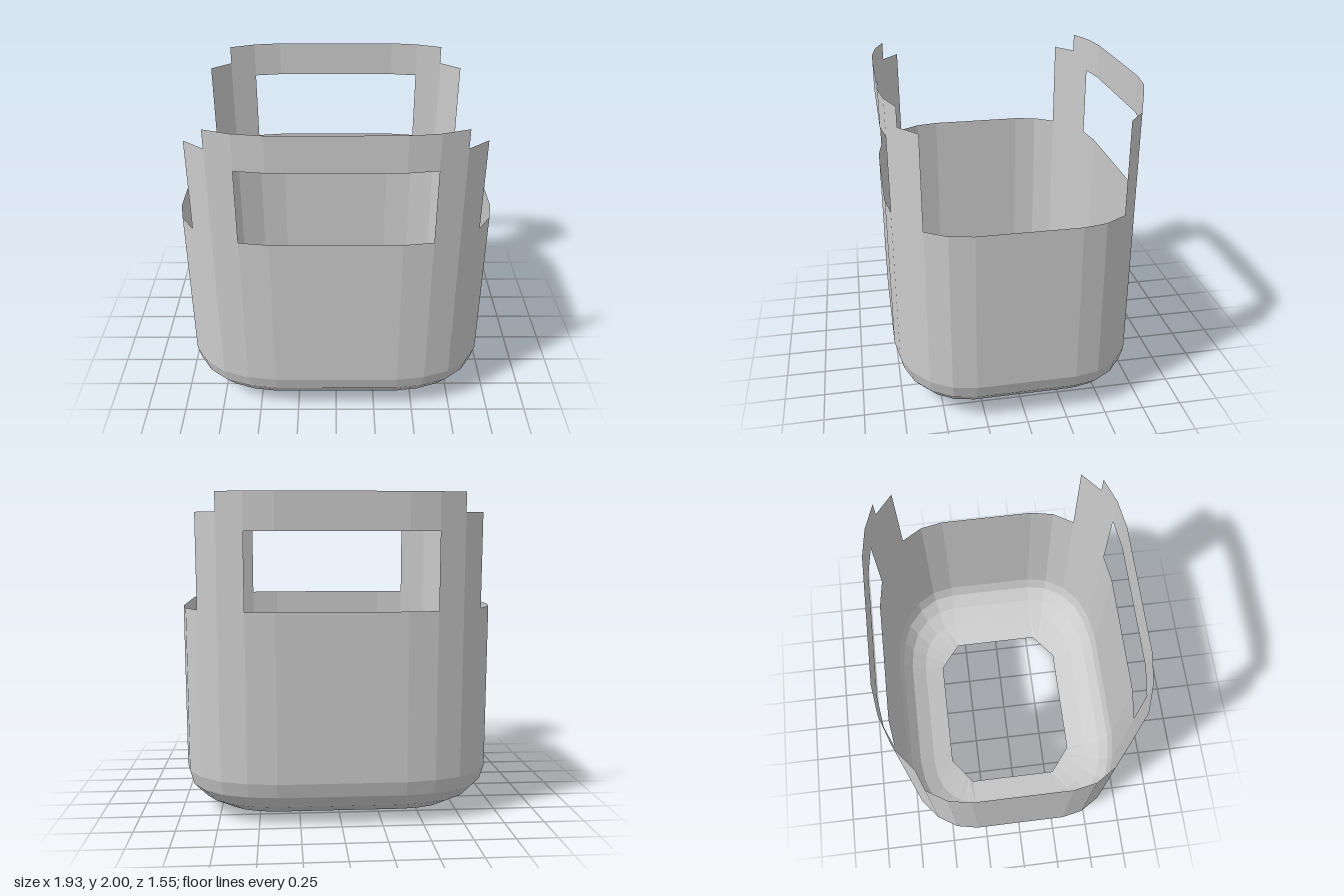
import * as THREE from 'three';

const CX = 0.39, CZ = 0.31; // where the straight sides end and the corners start
const HX = 0.967, HZ = 0.773; // half width and half depth of the wall
// one rounded corner, as fractions of the corner radii, from front to side
const CORNER = [[0, 1], [0.31, 0.945], [0.59, 0.82], [0.81, 0.595], [0.95, 0.315], [1, 0]];

// Closed 24-point outline at height y; chamfered corners are straight instead of round
function outline(hx, hz, y, chamfered = false) {
  const corner = CORNER.map(([u, v], i) => {
    const [a, b] = chamfered ? [i / 5, 1 - i / 5] : [u, v];
    return [CX + a * (hx - CX), CZ + b * (hz - CZ)];
  });
  const reversed = [...corner].reverse();
  const place = (pts, sx, sz) => pts.map(([x, z]) => new THREE.Vector3(sx * x, y, sz * z));
  return [
    ...place(corner, 1, 1), ...place(reversed, 1, -1),
    ...place(corner, -1, -1), ...place(reversed, -1, 1),
  ];
}

const material = new THREE.MeshStandardMaterial({
  color: 0xcccccc, flatShading: true, side: THREE.DoubleSide,
});

// Mesh from a list of quads (a, b along the bottom, c, d along the top)
function quadMesh(name, quads) {
  const geometry = new THREE.BufferGeometry().setFromPoints(
    quads.flatMap(([a, b, c, d]) => [a, b, c, a, c, d]));
  geometry.computeVertexNormals();
  const mesh = new THREE.Mesh(geometry, material);
  mesh.name = name;
  return mesh;
}

// Open-bottomed tub: rounded lower edge rising into a straight wall
function createBody() {
  const rings = [
    outline(0.568, 0.452, 0, true),
    outline(0.735, 0.59, 0.047),
    outline(0.86, 0.69, 0.11),
    outline(0.94, 0.75, 0.19),
    outline(HX, HZ, 0.28),
    outline(HX, HZ, 1.31),
  ];
  const quads = [];
  for (let r = 0; r < rings.length - 1; r++) {
    const low = rings[r], high = rings[r + 1];
    for (let i = 0; i < low.length; i++) {
      const j = (i + 1) % low.length;
      quads.push([low[i], low[j], high[j], high[i]]);
    }
  }
  return quadMesh('body', quads);
}

// Raised handle that follows the wall: stepped posts and a top bar around an opening
function createHandle(name) {
  const ring = outline(HX, HZ, 0);
  const at = (i, y) => ring[(i + 24) % 24].clone().setY(y);
  const strips = [ // first outline point, bottom, top
    [-4, 1.31, 1.885], [-3, 1.31, 2],
    [-2, 1.775, 2], [-1, 1.775, 2], [0, 1.775, 2],
    [1, 1.31, 2], [2, 1.31, 1.885],
  ];
  return quadMesh(name, strips.map(([i, low, high]) =>
    [at(i, low), at(i + 1, low), at(i + 1, high), at(i, high)]));
}

export function createModel() {
  const model = new THREE.Group();
  model.name = 'basket';
  const backHandle = createHandle('backHandle');
  backHandle.rotation.y = Math.PI;
  model.add(createBody(), createHandle('frontHandle'), backHandle);
  return model;
}
